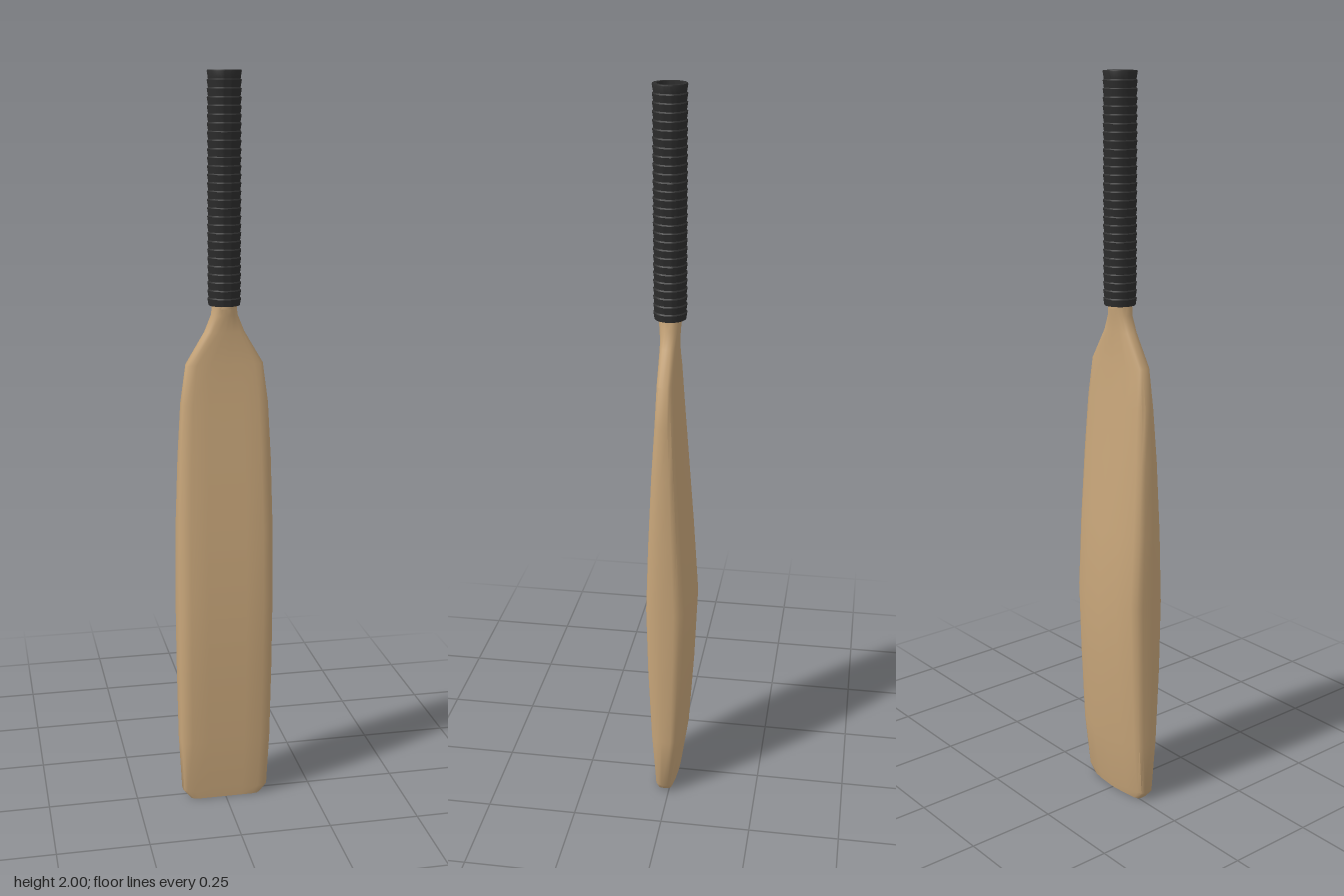
import * as THREE from 'three';
import { toCreasedNormals } from 'three/addons/utils/BufferGeometryUtils.js';

// Half outline of the blade, front centre to back ridge: [fraction of half width, fraction of depth]
const HALF = [[0, 0], [0.4, 0], [0.76, 0], [0.91, 0.05], [0.985, 0.17], [1, 0.35],
  [1, 0.62], [0.96, 0.75], [0.85, 0.83], [0.5, 0.93], [0, 1]];

// Blade sections: [y, half width, front z, back z, roundness]
const SECTIONS = [
  [0, 0.1, 0.036, -0.015, 0], [0.025, 0.121, 0.039, -0.02, 0], [0.18, 0.128, 0.05, -0.043, 0],
  [0.4, 0.131, 0.059, -0.058, 0], [0.6, 0.132, 0.063, -0.067, 0], [0.8, 0.131, 0.056, -0.053, 0],
  [1.0, 0.125, 0.047, -0.037, 0], [1.15, 0.117, 0.038, -0.024, 0], [1.255, 0.103, 0.034, -0.017, 0.05],
  [1.34, 0.053, 0.034, -0.015, 0.4], [1.385, 0.035, 0.038, -0.018, 0.85], [1.42, 0.032, 0.042, -0.022, 1],
];

function bladeGeometry() {
  const pos = [], idx = [], last = HALF.length - 1, n = last * 2;
  for (const [y, w, front, back, round] of SECTIONS) {
    for (let i = 0; i < n; i++) {
      const k = i <= last ? i : n - i, side = i <= last ? 1 : -1;
      const a = Math.PI * k / last;
      // blend the blade outline into a circle at the neck
      const u = THREE.MathUtils.lerp(HALF[k][0], Math.sin(a), round);
      const v = THREE.MathUtils.lerp(HALF[k][1], (1 - Math.cos(a)) / 2, round);
      pos.push(side * u * w, y, THREE.MathUtils.lerp(front, back, v));
    }
  }
  for (let r = 0; r < SECTIONS.length - 1; r++) {
    for (let i = 0; i < n; i++) {
      const a = r * n + i, b = r * n + (i + 1) % n;
      idx.push(a, b, b + n, a, b + n, a + n);
    }
  }
  // flat toe
  const centre = pos.length / 3;
  pos.push(0, 0, 0.01);
  for (let i = 0; i < n; i++) idx.push(centre, (i + 1) % n, i);
  const g = new THREE.BufferGeometry();
  g.setAttribute('position', new THREE.Float32BufferAttribute(pos, 3));
  g.setIndex(idx);
  return toCreasedNormals(g, 0.8);
}

function gripGeometry() {
  const bottom = 1.41, top = 2, rings = 28, step = (top - bottom) / rings;
  const pts = [new THREE.Vector2(0.033, bottom)];
  // each wrap flares upward to a small ledge
  for (let i = 0; i < rings; i++) {
    pts.push(new THREE.Vector2(0.041, bottom + i * step));
    pts.push(new THREE.Vector2(0.044, bottom + (i + 0.85) * step));
  }
  pts.push(new THREE.Vector2(0.043, top), new THREE.Vector2(0.033, top), new THREE.Vector2(0.033, bottom));
  return toCreasedNormals(new THREE.LatheGeometry(pts, 40), 0.5);
}

export function createModel() {
  const wood = new THREE.MeshStandardMaterial({ color: 0xc8a67a });
  wood.name = 'wood';
  const rubber = new THREE.MeshStandardMaterial({ color: 0x2e2e2e });
  rubber.name = 'rubber';
  const model = new THREE.Group();
  model.name = 'bat';
  const add = (name, geometry, material, y = 0, z = 0) => {
    const mesh = new THREE.Mesh(geometry, material);
    mesh.name = name;
    mesh.position.set(0, y, z);
    model.add(mesh);
  };

  add('blade', bladeGeometry(), wood);
  // wooden core, slightly recessed inside the grip
  add('handleCore', new THREE.CylinderGeometry(0.031, 0.031, 0.585, 40), wood, 1.695, 0.01);
  add('grip', gripGeometry(), rubber, 0, 0.01);
  return model;
}
